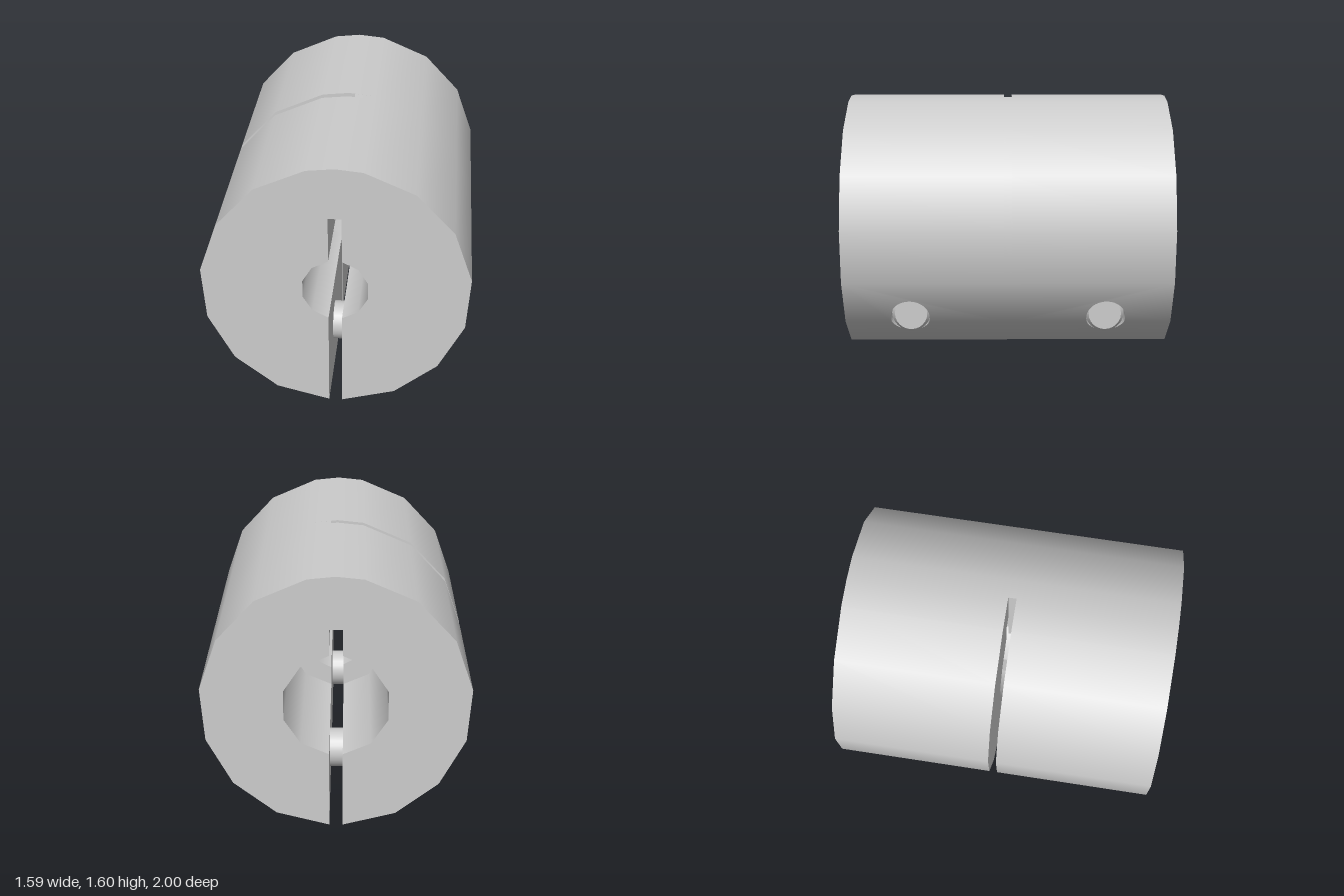
import * as THREE from 'three';
import { mergeVertices } from 'three/addons/utils/BufferGeometryUtils.js';

const CY = 0.8, R = 0.8;             // shaft axis height, body radius
const GAP = 0.04, SLOT_TOP = 1.28;   // half width and top of the clamping slot
const SLIT = 0.025;                  // half width of the cross slit
const SCREW_Y = 0.32, SCREW_Z = 0.6;
const HOLE_R = 0.12, SINK_R = 0.23, SEAT_X = -0.32, HOLE_X = 0.45;

const grey = new THREE.MeshStandardMaterial({ color: 0xcccccc });
const greyDouble = new THREE.MeshStandardMaterial({ color: 0xcccccc, side: THREE.DoubleSide });

function add(parent, name, geometry, material = grey) {
  const mesh = new THREE.Mesh(geometry, material);
  mesh.name = name;
  parent.add(mesh);
  return mesh;
}

// Points on a circle about the shaft axis, angles measured from the top towards +x
function arc(r, from, to, steps, kind) {
  return Array.from({ length: steps + 1 }, (_, i) => {
    const a = from + (to - from) * i / steps;
    return { x: r * Math.sin(a), y: CY + r * Math.cos(a), kind };
  });
}

// Closed counter-clockwise cross-section of the slotted body
function outline(boreR, rightOnly) {
  const end = Math.PI - Math.asin(GAP / R);
  const full = arc(R, end, -end, 15, 'outer');
  full.splice(8, 0, { x: 0, y: CY + R, kind: 'outer' });
  const b = Math.asin(GAP / boreR);
  const boreRight = arc(boreR, b, Math.PI - b, 5, 'bore');
  if (rightOnly) {
    const top = { x: GAP, y: CY + R - 0.005, kind: 'outer' };
    return [...full.slice(0, 8), top, ...boreRight];
  }
  const boreLeft = arc(boreR, b - Math.PI, -b, 5, 'bore');
  return [...full, ...boreLeft, { x: -GAP, y: SLOT_TOP }, { x: GAP, y: SLOT_TOP }, ...boreRight];
}

// Arc of a screw hole lying on one facet, starting and ending on the facet edge at height yEdge
function holeArc(zc, r, yEdge, above) {
  const a0 = Math.asin((yEdge - SCREW_Y) / r);
  const [s, e] = above ? [Math.PI - a0, a0] : [-Math.PI - a0, a0];
  const pts = [];
  for (let i = 0; i <= 20; i++) {
    const a = s + (e - s) * i / 20;
    pts.push({ z: zc + r * Math.cos(a), y: SCREW_Y + r * Math.sin(a) });
  }
  return pts;
}

// Wall of a screw hole from the body surface to its inner end
function holeWall(group, pts, xInner) {
  const pos = [], index = [];
  pts.forEach((p, i) => {
    pos.push(p.x, p.y, p.z, xInner, p.y, p.z);
    if (i) index.push(2 * i - 2, 2 * i - 1, 2 * i, 2 * i, 2 * i - 1, 2 * i + 1);
  });
  const g = new THREE.BufferGeometry();
  g.setAttribute('position', new THREE.Float32BufferAttribute(pos, 3));
  g.setIndex(index);
  g.computeVertexNormals();
  add(group, 'screwHoleWall', g, greyDouble);
}

// One lengthwise facet of the body, notched where a screw hole crosses its edge
function facet(group, p, q, z0, z1, zHole) {
  const surface = (s, z) => ({ x: p.x + (q.x - p.x) * s, y: p.y + (q.y - p.y) * s, z });
  const kind = p.kind === q.kind ? p.kind : undefined;
  const r = p.x > 0 ? HOLE_R : SINK_R;
  const notch = (edge, other) => {
    if (kind !== 'outer' || zHole === null || Math.abs(edge.y - SCREW_Y) >= r) return [];
    const pts = holeArc(zHole, r, edge.y, other.y > edge.y)
      .map(h => [(h.y - p.y) / (q.y - p.y), h.z]);
    holeWall(group, pts.map(([s, z]) => surface(s, z)), p.x > 0 ? HOLE_X : SEAT_X);
    return pts;
  };
  const pts = [[0, z0], [1, z0], ...notch(q, p), [1, z1], [0, z1], ...notch(p, q).reverse()];
  const g = new THREE.ShapeGeometry(new THREE.Shape(pts.map(a => new THREE.Vector2(...a))));
  const pos = g.attributes.position, nor = g.attributes.normal;
  const len = Math.hypot(q.x - p.x, q.y - p.y);
  for (let i = 0; i < pos.count; i++) {
    const v = surface(pos.getX(i), pos.getY(i));
    pos.setXYZ(i, v.x, v.y, v.z);
    const d = Math.hypot(v.x, v.y - CY) * (kind === 'bore' ? -1 : 1);
    if (kind) nor.setXYZ(i, v.x / d, (v.y - CY) / d, 0);
    else nor.setXYZ(i, (q.y - p.y) / len, (p.x - q.x) / len, 0);
  }
  add(group, kind === 'outer' ? 'outerWall' : kind === 'bore' ? 'boreWall' : 'slotWall', g);
}

// A length of the body with both end faces
function section(name, boreR, z0, z1, zHole, rightOnly) {
  const group = new THREE.Group();
  group.name = name;
  const pts = outline(boreR, rightOnly);
  pts.forEach((p, i) => facet(group, p, pts[(i + 1) % pts.length], z0, z1, zHole));
  const cap = new THREE.ShapeGeometry(new THREE.Shape(pts.map(p => new THREE.Vector2(p.x, p.y))));
  add(group, 'frontFace', cap).position.z = z1;
  const back = cap.clone();
  back.index.array.reverse();
  for (let i = 0; i < back.attributes.normal.count; i++) back.attributes.normal.setZ(i, -1);
  add(group, 'backFace', back).position.z = z0;
  return group;
}

// Flat-shaded turned part with crisp edges between rings
function turned(points) {
  const g = new THREE.LatheGeometry(points.map(p => new THREE.Vector2(...p)), 24);
  return g;
}

// Socket head screw built along +y (head at the top), then laid along -x
function screw(z) {
  const group = new THREE.Group();
  group.name = 'clampScrew';
  const headR = 0.22, headTop = 0.24, socketDepth = 0.13;
  const shank = new THREE.CylinderGeometry(HOLE_R, HOLE_R, 0.85, 24, 1, true);
  add(group, 'shank', shank).position.y = -0.425;
  add(group, 'shankTip', new THREE.CylinderGeometry(HOLE_R, 0.1, 0.03, 24)).position.y = -0.865;
  const side = new THREE.CylinderGeometry(headR, headR, headTop - 0.02, 24, 1, true);
  add(group, 'headSide', side).position.y = (headTop - 0.02) / 2;
  add(group, 'headChamfer', turned([[headR, headTop - 0.02], [headR - 0.02, headTop]]));
  const face = new THREE.Shape().absarc(0, 0, headR - 0.02, 0, Math.PI * 2);
  const hex = Array.from({ length: 6 }, (_, i) =>
    new THREE.Vector2(0.12 * Math.cos(i * Math.PI / 3), 0.12 * Math.sin(i * Math.PI / 3)));
  face.holes.push(new THREE.Path(hex));
  const ring = new THREE.ExtrudeGeometry(face, { depth: socketDepth, bevelEnabled: false, curveSegments: 12 });
  ring.rotateX(-Math.PI / 2);
  add(group, 'headSocket', mergeVertices(ring)).position.y = headTop - socketDepth;
  const floor = new THREE.CircleGeometry(0.15, 12).rotateX(-Math.PI / 2);
  add(group, 'socketFloor', floor).position.y = headTop - socketDepth + 0.001;
  // Seat of the counterbore under the head
  add(group, 'headSeat', new THREE.CircleGeometry(SINK_R, 24).rotateX(-Math.PI / 2));
  group.rotation.z = Math.PI / 2;
  group.position.set(SEAT_X, SCREW_Y, z);
  return group;
}

export function createModel() {
  const model = new THREE.Group();
  model.name = 'clampCoupling';
  // Two clamping halves with different bores, joined by a web on the uncut side
  model.add(section('frontClamp', 0.2, SLIT, 1, SCREW_Z, false));
  model.add(section('backClamp', 0.32, -1, -SLIT, -SCREW_Z, false));
  model.add(section('web', 0.2, -SLIT, SLIT, null, true));
  for (const z of [SCREW_Z, -SCREW_Z]) model.add(screw(z));
  return model;
}
